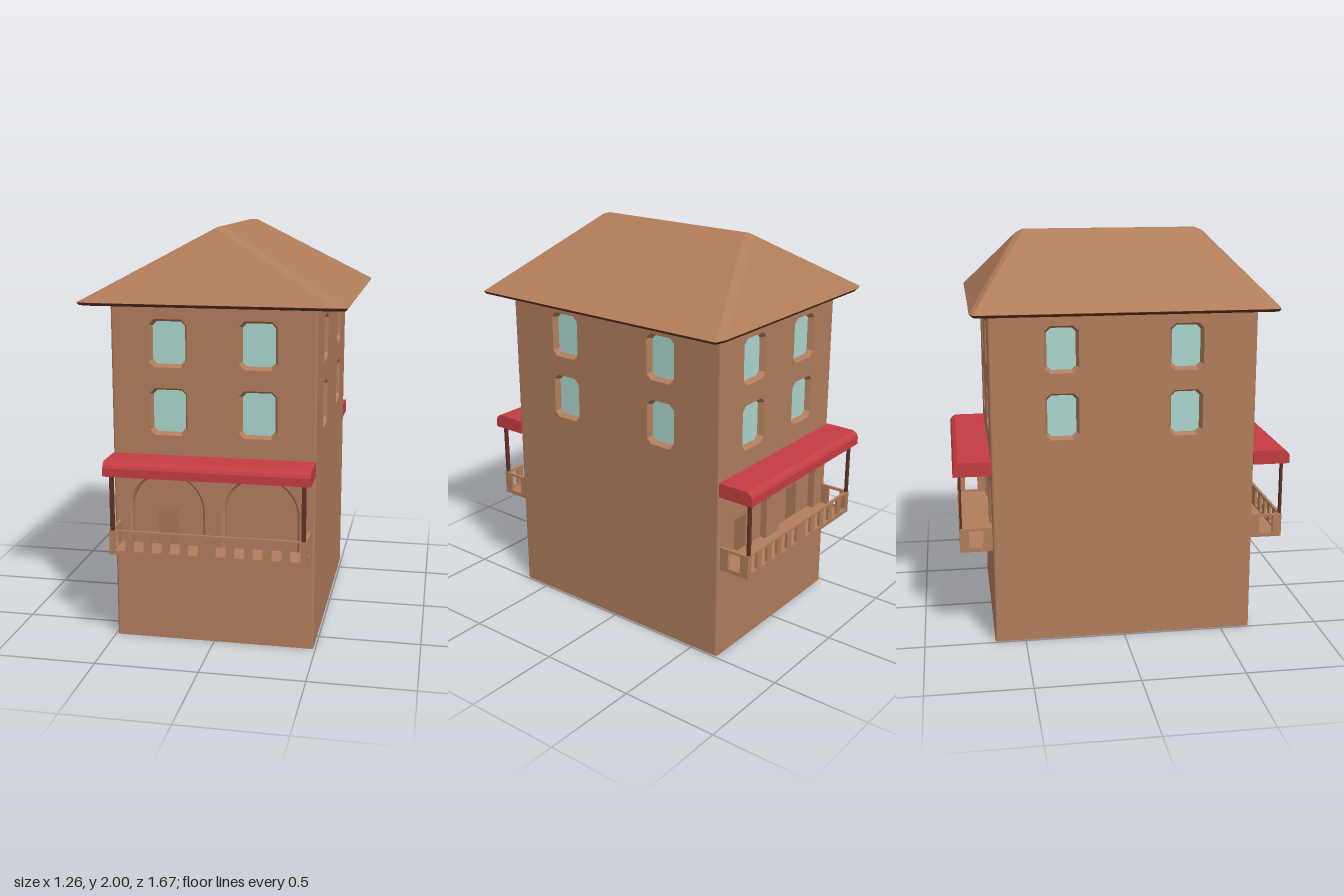
import * as THREE from 'three';
import { ConvexGeometry } from 'three/addons/geometries/ConvexGeometry.js';

const mat = (name, color, side = THREE.FrontSide) => {
  const m = new THREE.MeshStandardMaterial({ color, side });
  m.name = name;
  return m;
};

export function createModel() {
  const clay = mat('clay', 0xb07d5b, THREE.DoubleSide);
  const red = mat('awningRed', 0xc43d41);
  const glass = mat('paleGlass', 0xabd6ce, THREE.DoubleSide);
  const dark = mat('darkWood', 0x5e3222);

  const W = 0.49, D = 0.65, H = 1.655, EDGE = 0.012;
  const model = new THREE.Group();
  model.name = 'house';

  const add = (parent, name, geo, material, x = 0, y = 0, z = 0) => {
    const mesh = new THREE.Mesh(geo, material);
    mesh.name = name;
    mesh.position.set(x, y, z);
    parent.add(mesh);
    return mesh;
  };
  const box = (parent, name, material, w, h, d, x, y, z) =>
    add(parent, name, new THREE.BoxGeometry(w, h, d), material, x, y, z);

  // Outlines, all counter-clockwise
  const v = (x, y) => new THREE.Vector2(x, y);
  const rect = (x0, y0, x1, y1) => [v(x0, y0), v(x1, y0), v(x1, y1), v(x0, y1)];
  const cutRect = (cx, cy, w, h, c) => {
    const a = w / 2, b = h / 2;
    return [[-a + c, -b], [a - c, -b], [a, -b + c], [a, b - c], [a - c, b], [-a + c, b], [-a, b - c], [-a, -b + c]]
      .map(([x, y]) => v(cx + x, cy + y));
  };
  const arch = (cx, r, bottom) => {
    const pts = [v(cx - r, bottom), v(cx + r, bottom)];
    for (let i = 0; i <= 24; i++) {
      const t = (i / 24) * Math.PI;
      pts.push(v(cx + r * Math.cos(t), 0.658 + r * Math.sin(t)));
    }
    return pts;
  };
  const plate = (outline, holes = []) => {
    const s = new THREE.Shape(outline);
    holes.forEach(h => s.holes.push(new THREE.Path(h)));
    return s;
  };

  // Band joining two matching outlines at depths z0 and z1
  const band = (a, z0, b, z1) => {
    const pos = [];
    a.forEach((p, i) => {
      const j = (i + 1) % a.length;
      const A = [p.x, p.y, z0], B = [a[j].x, a[j].y, z0];
      const C = [b[j].x, b[j].y, z1], E = [b[i].x, b[i].y, z1];
      pos.push(...A, ...B, ...C, ...A, ...C, ...E);
    });
    const g = new THREE.BufferGeometry();
    g.setAttribute('position', new THREE.Float32BufferAttribute(pos, 3));
    g.computeVertexNormals();
    return g;
  };

  // One wall facing +z, with recessed windows and optional arched niches
  function wall(name, halfWidth, dist, winX, winW, arched) {
    const g = new THREE.Group();
    g.name = name;
    const holes = [];
    for (const s of [-1, 1]) {
      for (const y of [1.145, 1.472]) {
        const outer = cutRect(s * winX, y, winW, 0.228, 0.026);
        const inner = cutRect(s * winX, y, winW - 0.026, 0.202, 0.02);
        holes.push(outer);
        add(g, 'windowFrame', band(outer, dist, inner, dist - 0.03), clay);
        add(g, 'windowPane', new THREE.ShapeGeometry(plate(inner)), glass, 0, 0, dist - 0.03);
      }
      if (arched) {
        const cx = s * 0.229;
        const outer = arch(cx, 0.187, 0.47), mid = arch(cx, 0.176, 0.47);
        holes.push(outer);
        add(g, 'archMoulding', band(outer, dist, mid, dist - 0.012), clay);
        add(g, 'archReveal', band(mid, dist - 0.012, mid, dist - 0.05), clay);
        // Niche back with a doorway cut out of it
        const back = plate(mid, [rect(s * 0.234 - 0.05, 0.474, s * 0.234 + 0.05, 0.652)]);
        add(g, 'nicheBack', new THREE.ShapeGeometry(back), clay, 0, 0, dist - 0.05);
      }
    }
    const face = plate(rect(-halfWidth + EDGE, 0, halfWidth - EDGE, H), holes);
    add(g, 'wallFace', new THREE.ShapeGeometry(face), clay, 0, 0, dist);
    return g;
  }

  // Balcony with pierced railing, posts and awning, facing +z
  function balcony() {
    const g = new THREE.Group();
    g.name = 'balcony';
    const z0 = D, z1 = 0.81, x1 = 0.472, y0 = 0.475, y1 = 0.595, t = 0.014;
    box(g, 'balconyFloor', clay, x1 * 2, 0.012, z1 - z0, 0, y0 + 0.006, (z0 + z1) / 2);

    const holes = [];
    for (const s of [-1, 1])
      for (let i = 0; i < 5; i++) holes.push(cutRect(s * (0.066 + 0.088 * i), 0.54, 0.05, 0.09, 0.006));
    const solid = (shape, depth) => new THREE.ExtrudeGeometry(shape, { depth, bevelEnabled: false });
    add(g, 'frontRailing', solid(plate(rect(-x1, y0, x1, y1), holes), t), clay, 0, 0, z1 - t);

    const sideShape = plate(rect(z0, y0, z1 - t, y1), [rect(0.695, 0.495, 0.765, 0.583)]);
    for (const s of [-1, 1]) {
      const geo = solid(sideShape, t).rotateY(-Math.PI / 2);
      add(g, 'sideRailing', geo, clay, s > 0 ? x1 : -x1 + t);
      box(g, 'post', dark, 0.02, 0.275, 0.012, s * 0.456, 0.732, 0.803);
    }

    const profile = plate([v(z0, 0.865), v(0.835, 0.865), v(0.835, 0.905), v(0.828, 0.92), v(0.808, 0.935), v(z0, 0.935)]);
    add(g, 'awning', solid(profile, W * 2).rotateY(-Math.PI / 2), red, W);
    return g;
  }

  // Walls and balconies, mirrored front to back and left to right
  for (const turn of [0, Math.PI]) {
    const front = wall(turn ? 'backWall' : 'frontWall', W, D, 0.215, 0.182, true);
    front.rotation.y = turn;
    const porch = balcony();
    porch.rotation.y = turn;
    const side = wall(turn ? 'rightWall' : 'leftWall', D, W, 0.303, 0.166, false);
    side.rotation.y = turn + Math.PI / 2;
    model.add(front, porch, side);
  }

  // Softened vertical corners
  for (const sx of [-1, 1])
    for (const sz of [-1, 1])
      add(model, 'cornerEdge', new THREE.CylinderGeometry(EDGE, EDGE, H, 12), clay,
        sx * (W - EDGE), H / 2, sz * (D - EDGE));

  // Hipped roof with blunted ridge and hips, over a dark soffit
  const eave = (x, z, y, inset) => {
    const pts = [];
    for (const sx of [-1, 1])
      for (const sz of [-1, 1])
        pts.push(new THREE.Vector3(sx * (x - inset), y, sz * (z - 0.015 - inset)),
          new THREE.Vector3(sx * (x - 0.06 - inset), y, sz * (z - inset)));
    return pts;
  };
  const roof = eave(0.63, 0.735, 1.664, 0);
  for (const s of [-1, 1])
    roof.push(new THREE.Vector3(-0.02, 2, s * 0.44), new THREE.Vector3(0.02, 2, s * 0.44),
      new THREE.Vector3(0, 1.984, s * 0.478));
  add(model, 'roof', new ConvexGeometry(roof), clay);
  add(model, 'soffit', new ConvexGeometry([...eave(0.63, 0.735, 1.663, 0), ...eave(0.63, 0.735, 1.65, 0.01)]), dark);

  return model;
}
